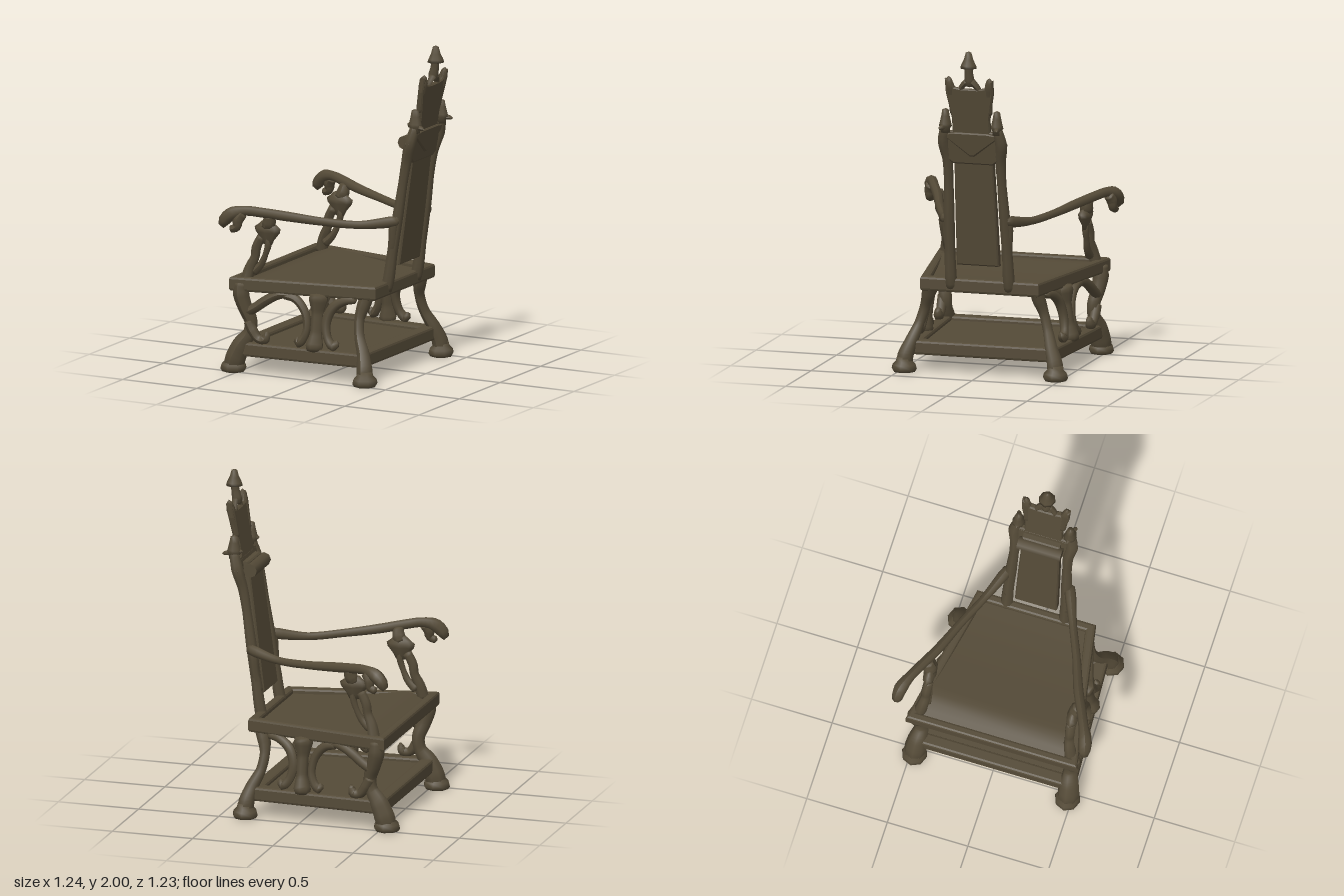
import * as THREE from 'three';

export function createModel() {
  const chair = new THREE.Group();
  const wood = new THREE.MeshStandardMaterial({ color: 0x544a37 });

  function add(name, geometry) {
    const mesh = new THREE.Mesh(geometry, wood);
    mesh.name = name;
    chair.add(mesh);
    return mesh;
  }

  // Carved limb: a tube through [x, y, z, radius] points, closed at both ends
  function limb(name, pts, side = 1, sides = 8) {
    const v = pts.map(p => new THREE.Vector3(p[0], p[1], p[2] * side));
    const curve = new THREE.CatmullRomCurve3(v, false, 'centripetal');
    const n = (pts.length - 1) * 5;
    const at = [0];
    for (let i = 1; i < v.length; i++) at.push(at[i - 1] + v[i].distanceTo(v[i - 1]));
    const total = at[at.length - 1];
    const radius = u => {
      let k = 1;
      while (k < at.length - 1 && u * total > at[k]) k++;
      const t = (u * total - at[k - 1]) / (at[k] - at[k - 1]);
      return THREE.MathUtils.lerp(pts[k - 1][3], pts[k][3], Math.min(1, t));
    };
    const geo = new THREE.TubeGeometry(curve, n, 1, sides, false);
    const pos = geo.attributes.position;
    const q = new THREE.Vector3();
    for (let i = 0; i <= n; i++) {
      const c = curve.getPointAt(i / n);
      const r = i === 0 || i === n ? 0 : radius(i / n);
      for (let j = 0; j <= sides; j++) {
        const id = i * (sides + 1) + j;
        q.fromBufferAttribute(pos, id).sub(c).multiplyScalar(r).add(c);
        pos.setXYZ(id, q.x, q.y, q.z);
      }
    }
    geo.computeVertexNormals();
    return add(name, geo);
  }

  function turned(name, profile, x, y, z, sides = 8) {
    const mesh = add(name, new THREE.LatheGeometry(profile.map(p => new THREE.Vector2(...p)), sides));
    mesh.position.set(x, y, z);
    return mesh;
  }

  // Closed shape from half an outline mirrored about its centre
  function mirrored(half) {
    const other = half.map(([u, v]) => [-u, v]).reverse();
    return new THREE.Shape([...half, ...other].map(p => new THREE.Vector2(...p)));
  }

  // Trapezoid rail frame lying flat, front at x0 and back at x1
  function frame(name, x0, w0, x1, w1, y0, y1, rail) {
    const trapezoid = r => [[x0 + r, -w0 + r], [x1 - r, -w1 + r], [x1 - r, w1 - r], [x0 + r, w0 - r]]
      .map(p => new THREE.Vector2(...p));
    const b = 0.015;
    const shape = new THREE.Shape(trapezoid(b));
    shape.holes.push(new THREE.Path(trapezoid(rail - b).reverse()));
    const geo = new THREE.ExtrudeGeometry(shape, {
      depth: y1 - y0 - 2 * b, bevelSize: b, bevelThickness: b, bevelSegments: 2,
    });
    geo.rotateX(-Math.PI / 2).translate(0, y0 + b, 0);
    add(name, geo);
  }

  // Board filling a trapezoid, with its top following a height rule
  function board(name, x0, w0, x1, w1, bottom, top) {
    const geo = new THREE.BoxGeometry(1, 1, 1, 16, 1, 1);
    const pos = geo.attributes.position;
    for (let i = 0; i < pos.count; i++) {
      const t = pos.getX(i) + 0.5;
      const x = THREE.MathUtils.lerp(x0, x1, t);
      const w = THREE.MathUtils.lerp(w0, w1, t);
      pos.setXYZ(i, x, pos.getY(i) > 0 ? top(x) : bottom, pos.getZ(i) * 2 * w);
    }
    geo.computeVertexNormals();
    add(name, geo);
  }

  // Upright plate drawn in (z, y), then leaned backwards
  function leaning(name, half, thick, lean) {
    const geo = new THREE.ExtrudeGeometry(mirrored(half), {
      depth: thick - 0.016, bevelSize: 0.008, bevelThickness: 0.008, bevelSegments: 1,
    });
    geo.translate(0, 0, -thick / 2 + 0.008).rotateY(Math.PI / 2);
    const pos = geo.attributes.position;
    for (let i = 0; i < pos.count; i++) pos.setX(i, pos.getX(i) + lean(pos.getY(i)));
    geo.computeVertexNormals();
    add(name, geo);
  }

  // Seat and base
  frame('seatFrame', -0.54, 0.53, 0.36, 0.37, 0.495, 0.582, 0.055);
  board('seatCushion', -0.5, 0.5, 0.34, 0.35, 0.51,
    x => x < -0.37 ? 0.545 + (x + 0.5) * 0.31 : 0.585 - 0.035 * Math.sin((x + 0.37) * 2.6));
  frame('baseFrame', -0.53, 0.51, 0.33, 0.46, 0.1, 0.187, 0.08);
  board('baseBoard', -0.5, 0.49, 0.31, 0.44, 0.112, () => 0.16);

  // Side carving follows the slope between base and seat
  const sideZ = (x, y) => {
    const t = (y - 0.19) / 0.31;
    return THREE.MathUtils.lerp(0.455 - 0.05 * x, 0.41 - 0.17 * x, t);
  };
  const onSide = pts => pts.map(([x, y, r]) => [x, y, sideZ(x, y), r]);
  const footProfile = [[0, 0], [0.066, 0], [0.078, 0.018], [0.072, 0.042], [0.052, 0.062], [0.045, 0.09], [0, 0.1]];

  for (const s of [1, -1]) {
    // Legs and feet
    turned('frontFoot', footProfile, -0.54, 0, s * 0.475).scale.x = 1.05;
    turned('backFoot', footProfile, 0.345, 0, s * 0.47);
    limb('frontLeg', [[-0.54, 0.02, 0.475, 0.06], [-0.525, 0.08, 0.475, 0.066], [-0.49, 0.16, 0.47, 0.058],
      [-0.44, 0.24, 0.46, 0.04], [-0.43, 0.31, 0.46, 0.04], [-0.46, 0.4, 0.48, 0.044],
      [-0.48, 0.48, 0.49, 0.05], [-0.48, 0.56, 0.49, 0.04]], s);
    limb('backLeg', [[0.345, 0.02, 0.47, 0.05], [0.34, 0.09, 0.465, 0.05], [0.315, 0.18, 0.435, 0.04],
      [0.27, 0.28, 0.4, 0.031], [0.255, 0.38, 0.37, 0.031], [0.27, 0.46, 0.345, 0.042], [0.3, 0.54, 0.33, 0.04]], s);

    // Scrolled side brackets
    limb('legHook', onSide([[-0.44, 0.32, 0.03], [-0.41, 0.26, 0.032], [-0.37, 0.21, 0.027], [-0.33, 0.21, 0.03], [-0.32, 0.245, 0.02], [-0.33, 0.255, 0.015]]), s);
    limb('frontBracket', onSide([[-0.46, 0.36, 0.03], [-0.39, 0.4, 0.03], [-0.32, 0.45, 0.03], [-0.24, 0.49, 0.028], [-0.16, 0.49, 0.02]]), s);
    limb('frontScroll', onSide([[-0.22, 0.49, 0.025], [-0.14, 0.47, 0.028], [-0.08, 0.4, 0.026], [-0.06, 0.31, 0.024], [-0.08, 0.24, 0.026], [-0.11, 0.21, 0.03], [-0.12, 0.25, 0.015]]), s);
    limb('backScroll', onSide([[0.24, 0.49, 0.02], [0.16, 0.48, 0.028], [0.09, 0.43, 0.03], [0.06, 0.34, 0.028], [0.08, 0.25, 0.026], [0.12, 0.21, 0.03], [0.14, 0.25, 0.015]]), s);
    limb('sidePost', onSide([[-0.005, 0.16, 0.04], [-0.005, 0.2, 0.055], [0, 0.28, 0.036], [0, 0.4, 0.036], [0, 0.48, 0.06], [0, 0.52, 0.05]]), s);

    // Arm support: two twisted strands under a cup
    limb('armSupport', [[-0.46, 0.54, 0.47, 0.04], [-0.44, 0.63, 0.455, 0.034], [-0.41, 0.7, 0.445, 0.028], [-0.4, 0.76, 0.445, 0.03], [-0.36, 0.84, 0.44, 0.028]], s);
    limb('armSupportStrand', [[-0.43, 0.6, 0.44, 0.03], [-0.37, 0.66, 0.44, 0.022], [-0.34, 0.72, 0.445, 0.018], [-0.32, 0.79, 0.445, 0.022], [-0.33, 0.84, 0.445, 0.02]], s);
    turned('armCup', [[0, 0], [0.03, 0], [0.045, 0.03], [0.082, 0.075], [0.088, 0.1], [0.06, 0.12], [0.04, 0.14], [0, 0.15]],
      -0.325, 0.785, s * 0.445).scale.z = 0.45;
    limb('armNeck', [[-0.33, 0.88, 0.445, 0.035], [-0.31, 0.92, 0.455, 0.042], [-0.3, 0.98, 0.47, 0.03]], s);

    // Arm with a curled hand grip
    limb('arm', [[0.43, 0.96, 0.18, 0.03], [0.36, 0.945, 0.21, 0.034], [0.2, 0.925, 0.275, 0.024], [0, 0.94, 0.36, 0.025],
      [-0.2, 0.965, 0.435, 0.03], [-0.33, 0.985, 0.495, 0.03], [-0.43, 0.995, 0.54, 0.03], [-0.5, 0.975, 0.57, 0.042],
      [-0.545, 0.93, 0.58, 0.036], [-0.55, 0.885, 0.58, 0.025]], s);
    limb('armKnuckles', [[-0.43, 0.985, 0.55, 0.03], [-0.46, 0.94, 0.565, 0.034], [-0.465, 0.9, 0.57, 0.026], [-0.51, 0.88, 0.575, 0.022]], s);

    // Back uprights
    limb('backUpright', [[0.325, 0.5, 0.18, 0.035], [0.345, 0.58, 0.18, 0.037], [0.37, 0.75, 0.178, 0.033], [0.405, 0.98, 0.172, 0.034],
      [0.435, 1.18, 0.165, 0.029], [0.46, 1.32, 0.165, 0.032], [0.49, 1.43, 0.178, 0.038], [0.51, 1.51, 0.165, 0.032], [0.515, 1.56, 0.16, 0.02]], s);
    limb('armBrace', [[0.42, 1.0, 0.175, 0.02], [0.39, 0.93, 0.19, 0.03], [0.375, 0.8, 0.185, 0.028], [0.345, 0.68, 0.18, 0.02]], s);
    const finial = turned('sideFinial', [[0, 0], [0.028, 0], [0.03, 0.03], [0.04, 0.04], [0.036, 0.055], [0.026, 0.1], [0.02, 0.135], [0, 0.145]],
      0.515, 1.495, s * 0.16);
    finial.scale.x = 1.15;
    limb('finialSpike', [[0.46, 1.545, 0.16, 0.01], [0.52, 1.535, 0.16, 0.022], [0.585, 1.525, 0.18, 0.01]], s, 6);

    // Crest horns
    limb('crestHorn', [[0.515, 1.6, 0.11, 0.02], [0.535, 1.72, 0.118, 0.022], [0.55, 1.79, 0.122, 0.027], [0.56, 1.845, 0.128, 0.012]], s, 6);
  }

  // Back panel
  leaning('backPanel', [[0.122, 0.68], [0.118, 1.0], [0.108, 1.46]], 0.055, y => 0.365 + 0.13 * (y - 0.68));

  // Crest, with a raised wedge behind and a headrest roll in front
  const crestLean = y => 0.5 + 0.17 * (y - 1.5);
  leaning('crest', [[0.12, 1.31], [0.19, 1.36], [0.205, 1.43], [0.17, 1.49], [0.11, 1.5], [0.108, 1.58], [0.122, 1.66],
    [0.138, 1.74], [0.142, 1.82], [0.115, 1.81], [0.1, 1.77], [0.05, 1.762]], 0.036, crestLean);
  leaning('crestWedge', [[0.01, 1.36], [0.17, 1.48], [0.1, 1.49]], 0.05, y => crestLean(y) + 0.006);
  const roll = add('headrestRoll', new THREE.CylinderGeometry(0.042, 0.042, 0.27, 8));
  roll.rotation.x = Math.PI / 2;
  roll.position.set(0.425, 1.42, 0);

  // Central finial on its twin-rooted stem
  for (const s of [1, -1]) {
    limb('finialRoot', [[0.54, 1.75, 0.06, 0.018], [0.55, 1.785, 0.045, 0.018], [0.555, 1.82, 0.01, 0.024]], s, 6);
  }
  limb('finialStem', [[0.545, 1.78, 0, 0.02], [0.55, 1.82, 0, 0.032], [0.56, 1.87, 0, 0.026], [0.565, 1.92, 0, 0.025]]);
  turned('centreFinial', [[0, 0], [0.052, 0], [0.046, 0.018], [0.03, 0.05], [0.018, 0.092], [0, 0.1]], 0.566, 1.9, 0);

  return chair;
}
